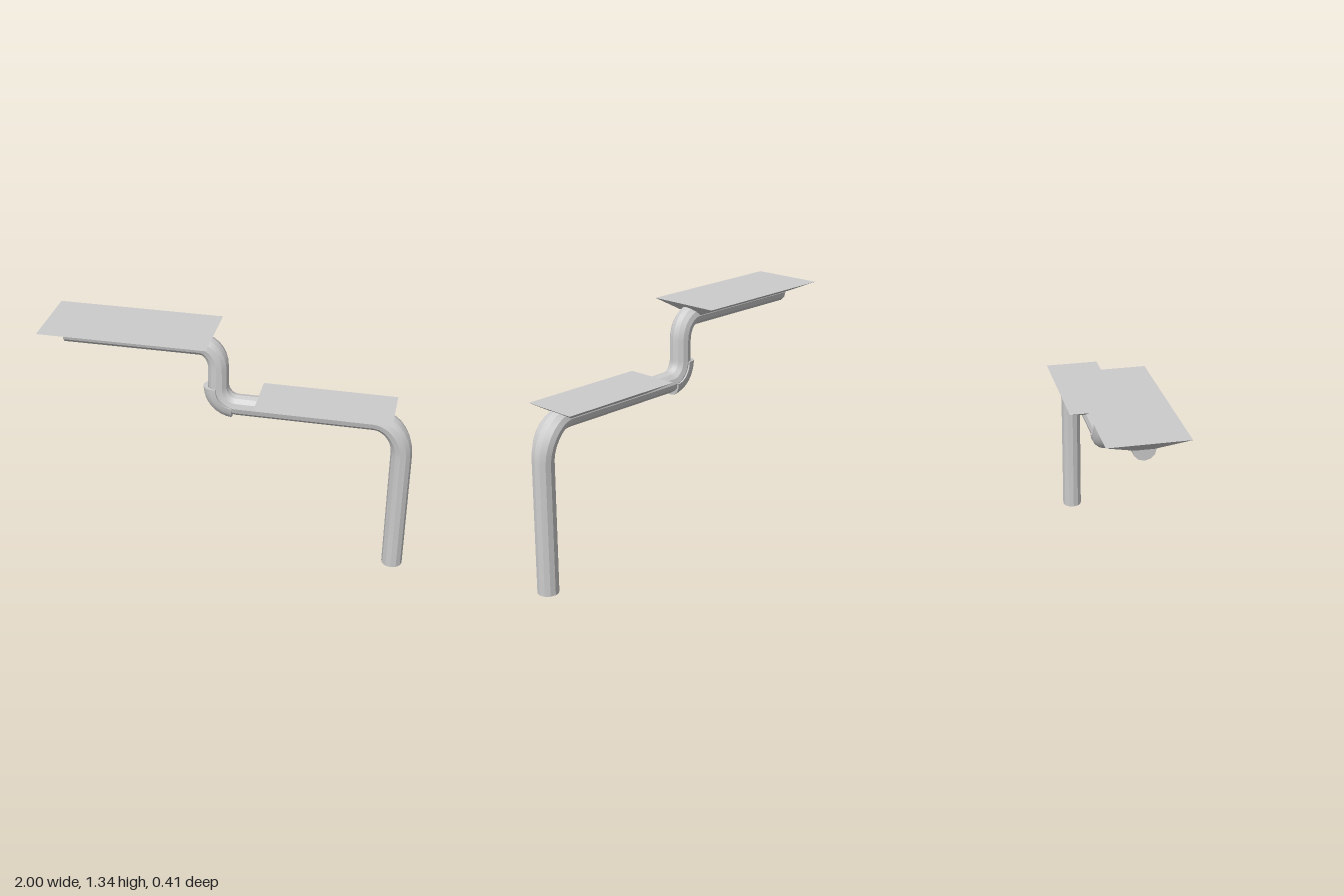
import * as THREE from 'three';
import { toCreasedNormals } from 'three/addons/utils/BufferGeometryUtils.js';

const material = new THREE.MeshStandardMaterial({ color: 0xcccccc });

// Quarter-ellipse bend from p0 to p1 around the corner point c
function bend(p0, c, p1, steps, bulge = 0) {
  const pts = [];
  for (let i = 0; i <= steps; i++) {
    const t = (i / steps) * Math.PI / 2;
    const a = 1 - Math.sin(t), b = 1 - Math.cos(t);
    const p = [0, 1].map(k => c[k] + (p0[k] - c[k]) * a + (p1[k] - c[k]) * b);
    pts.push([...p, 1 + bulge * Math.sin(2 * t)]); // third value widens z
  }
  return pts;
}

// Sweep a closed counter-clockwise profile [normal, z] along a path in the xy plane
function sweep(path, profile) {
  const pos = [], index = [], n = profile.length, last = path.length - 1;
  const dir = i => new THREE.Vector2(path[i + 1][0] - path[i][0], path[i + 1][1] - path[i][1]).normalize();
  path.forEach(([x, y, wide = 1], i) => {
    const t = dir(Math.min(i, last - 1)).add(dir(Math.max(i - 1, 0))).normalize();
    for (const [u, w] of profile) pos.push(x - t.y * u, y + t.x * u, w * wide);
  });
  for (let i = 0; i < last; i++) {
    for (let j = 0; j < n; j++) {
      const a = i * n + j, b = i * n + (j + 1) % n;
      index.push(a, b, b + n, a, b + n, a + n);
    }
  }
  // End caps
  const contour = profile.map(p => new THREE.Vector2(...p));
  for (const [a, b, c] of THREE.ShapeUtils.triangulateShape(contour, [])) {
    const e = last * n;
    index.push(a, c, b, e + a, e + b, e + c);
  }
  const g = new THREE.BufferGeometry();
  g.setAttribute('position', new THREE.Float32BufferAttribute(pos, 3));
  g.setIndex(index);
  g.computeVertexNormals();
  return toCreasedNormals(g, 0.45);
}

// Points on an ellipse arc in profile space
function arc(ru, rw, from, to, steps) {
  return Array.from({ length: steps + 1 }, (_, i) => {
    const a = from + (to - from) * i / steps;
    return [ru * Math.cos(a), rw * Math.sin(a)];
  });
}

// Tray: wide flat top tapering to a narrow bottom
function tray(top, bottom) {
  const g = new THREE.BoxGeometry(1, 1, 1);
  const p = g.attributes.position;
  for (let i = 0; i < p.count; i++) {
    const s = p.getY(i) > 0 ? top : bottom;
    p.setXYZ(i, p.getX(i) < 0 ? s.x0 : s.x1, s.y, Math.sign(p.getZ(i)) * s.z);
  }
  g.computeVertexNormals();
  return g;
}

export function createModel() {
  const model = new THREE.Group();
  model.name = 'steppedPipeStand';
  const add = (name, geometry) => {
    const mesh = new THREE.Mesh(geometry, material);
    mesh.name = name;
    model.add(mesh);
  };

  // One continuous pipe: upper run, drop, lower run, leg
  const path = [
    [-0.91, 1.273],
    ...bend([-0.16, 1.273], [-0.065, 1.273], [-0.065, 1.15], 7),
    ...bend([-0.065, 1.04], [-0.065, 0.927], [0.04, 0.927], 7),
    ...bend([0.79, 0.927], [0.94, 0.927], [0.94, 0.73], 7, 0.17),
    [0.94, 0]
  ];
  add('pipe', sweep(path, arc(0.058, 0.058, 0, Math.PI * 2, 12).slice(0, -1)));

  // Half sleeve wrapped around the outside of the lower elbow
  const shell = [
    ...arc(0.078, 0.066, Math.PI / 2, Math.PI * 1.5, 8),
    ...arc(0.054, 0.055, Math.PI * 1.5, Math.PI / 2, 8)
  ];
  add('elbowSleeve', sweep(bend([-0.07, 1.035], [-0.07, 0.928], [0.02, 0.928], 8), shell));

  // Trays resting on the two horizontal runs
  add('upperTray', tray(
    { x0: -1, x1: -0.085, y: 1.343, z: 0.205 },
    { x0: -0.912, x1: -0.17, y: 1.273, z: 0.05 }));
  add('lowerTray', tray(
    { x0: 0.155, x1: 0.89, y: 0.988, z: 0.153 },
    { x0: 0.27, x1: 0.785, y: 0.925, z: 0.045 }));

  return model;
}
